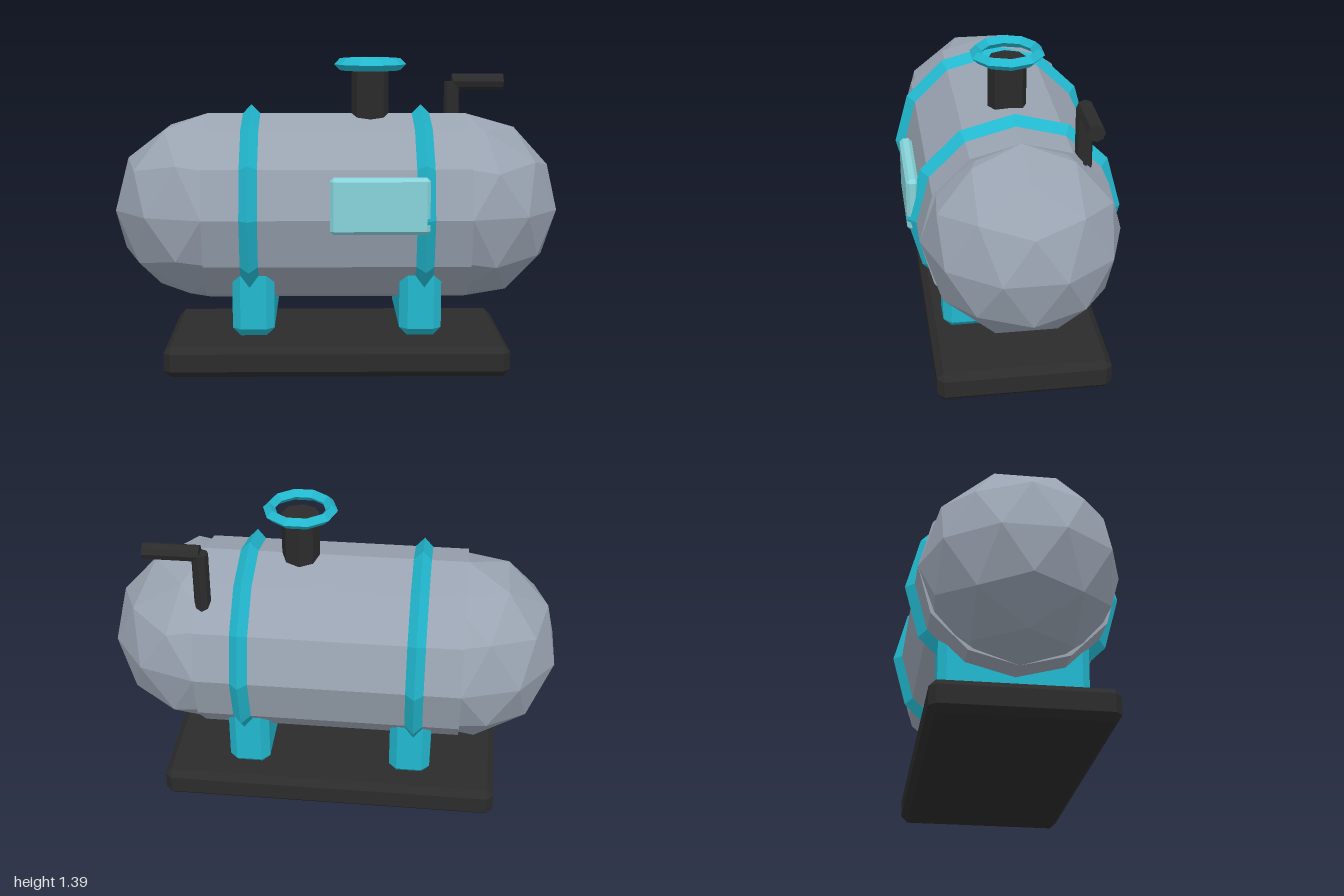
import * as THREE from 'three';
import { ConvexGeometry } from 'three/addons/geometries/ConvexGeometry.js';

// Box with a single flat chamfer on every edge
function chamferBox(w, h, d, c) {
  const points = [];
  for (const x of [-1, 1]) for (const y of [-1, 1]) for (const z of [-1, 1]) {
    for (let axis = 0; axis < 3; axis++) {
      const inset = [c, c, c];
      inset[axis] = 0;
      points.push(new THREE.Vector3(
        x * (w / 2 - inset[0]), y * (h / 2 - inset[1]), z * (d / 2 - inset[2])));
    }
  }
  return new ConvexGeometry(points);
}

export function createModel() {
  const model = new THREE.Group();
  model.name = 'storageTank';

  const material = (name, color) => {
    const m = new THREE.MeshStandardMaterial({ color, flatShading: true });
    m.name = name;
    return m;
  };
  const steel = material('steelGrey', 0x9aa4b2);
  const teal = material('teal', 0x22b8cf);
  const black = material('black', 0x2b2b2b);
  const glass = material('paleTeal', 0x88d4da);

  const add = (name, geometry, mat, x, y, z) => {
    const mesh = new THREE.Mesh(geometry, mat);
    mesh.name = name;
    mesh.position.set(x, y, z);
    model.add(mesh);
    return mesh;
  };

  const tankY = 0.715, tankR = 0.43, tankHalf = 0.59;

  // Base slab
  add('base', chamferBox(1.54, 0.14, 0.77, 0.03), black, 0, 0.07, 0);

  // Tank barrel along x
  add('tankBarrel', new THREE.CylinderGeometry(tankR, tankR, tankHalf * 2, 12).rotateZ(Math.PI / 2),
    steel, 0, tankY, 0);

  // Faceted end domes, poles turned upright
  const dome = new THREE.IcosahedronGeometry(tankR, 1)
    .rotateX(-Math.atan((1 + Math.sqrt(5)) / 2))
    .rotateY(Math.PI / 2);

  // Domes, straps and saddles on both sides
  const strap = new THREE.TorusGeometry(tankR, 0.04, 4, 12).rotateY(Math.PI / 2);
  const saddle = chamferBox(0.187, 0.36, 0.65, 0.036);
  for (const [side, s] of [['left', 1], ['right', -1]]) {
    add(side + 'Dome', dome, steel, s * tankHalf, tankY, 0);
    add(side + 'Strap', strap, teal, s * 0.387, tankY, 0);
    add(side + 'Saddle', saddle, teal, s * 0.372, 0.353, 0);
  }

  // Filler neck with ring
  add('fillerNeck', new THREE.CylinderGeometry(0.085, 0.085, 0.3, 8), black, 0.155, 1.195, 0);
  add('fillerRing', new THREE.TorusGeometry(0.138, 0.027, 4, 10).rotateX(Math.PI / 2),
    teal, 0.155, 1.368, 0);

  // Elbow vent pipe
  const pipe = (length) => new THREE.CylinderGeometry(0.037, 0.037, length, 8);
  add('ventRiser', pipe(0.324), black, 0.556, 1.112, -0.265);
  add('ventOutlet', pipe(0.245).rotateZ(Math.PI / 2), black, 0.678, 1.274, -0.265);

  // Gauge panel on the front
  add('gaugePanel', chamferBox(0.432, 0.246, 0.055, 0.015), glass, 0.184, 0.781, 0.441);

  return model;
}
